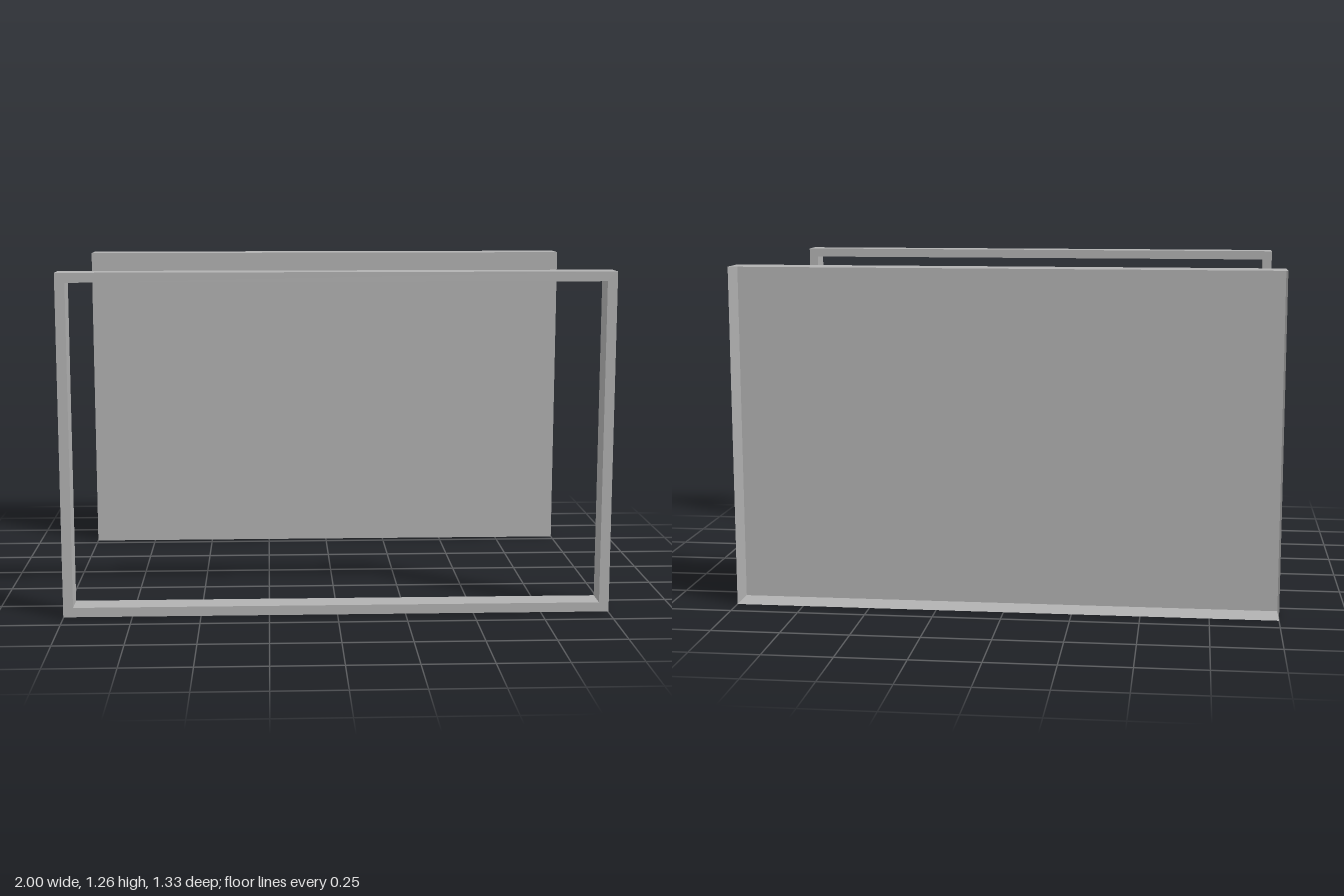
import * as THREE from 'three';

const material = new THREE.MeshStandardMaterial({ color: 0xb2b2b2, side: THREE.DoubleSide });
material.name = 'plain grey';

export function createModel() {
  const model = new THREE.Group();
  model.name = 'frameAndTray';
  const W = 2, H = 1.258;

  // Front frame: rectangular ring with a through opening
  const y0 = 0.003, y1 = 1.255;
  const outline = new THREE.Shape([
    new THREE.Vector2(-1, y0), new THREE.Vector2(1, y0),
    new THREE.Vector2(1, y1), new THREE.Vector2(-1, y1),
  ]);
  outline.holes.push(new THREE.Path([
    new THREE.Vector2(-0.964, 0.038), new THREE.Vector2(-0.964, 1.22),
    new THREE.Vector2(0.964, 1.22), new THREE.Vector2(0.964, 0.038),
  ]));
  const frame = new THREE.Mesh(
    new THREE.ExtrudeGeometry(outline, { depth: 0.097, bevelEnabled: false }), material);
  frame.name = 'frontFrame';
  frame.position.z = 0.566;
  model.add(frame);

  // Back tray: thin sheet panel with four thin rims, open to the rear
  const tray = new THREE.Group();
  tray.name = 'backTray';
  const zFront = -0.541, zBack = -0.663;
  const depth = zFront - zBack, zMid = (zFront + zBack) / 2;
  function sheet(name, w, h, position, rx, ry) {
    const mesh = new THREE.Mesh(new THREE.PlaneGeometry(w, h), material);
    mesh.name = name;
    mesh.position.set(...position);
    mesh.rotation.set(rx, ry, 0);
    tray.add(mesh);
  }
  sheet('trayPanel', W, H, [0, H / 2, zFront], 0, 0);
  sheet('trayTop', W, depth, [0, H, zMid], -Math.PI / 2, 0);
  sheet('trayBottom', W, depth, [0, 0, zMid], Math.PI / 2, 0);
  sheet('trayLeftSide', depth, H, [W / 2, H / 2, zMid], 0, Math.PI / 2);
  sheet('trayRightSide', depth, H, [-W / 2, H / 2, zMid], 0, -Math.PI / 2);
  model.add(tray);

  return model;
}
